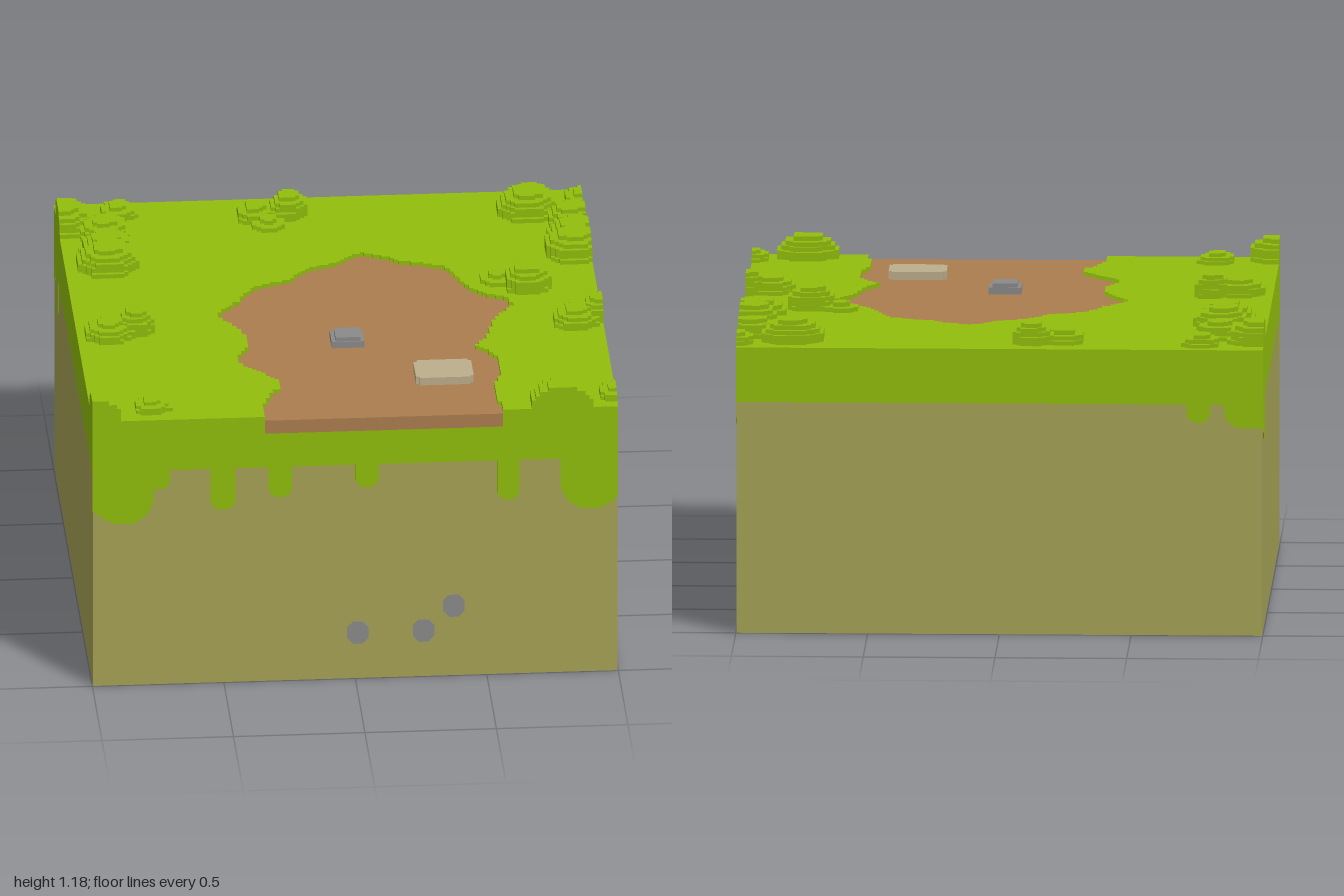
import * as THREE from 'three';

const V = 1 / 64; // block step
const TOP = 1.1, SKIRT = 0.89, BED = 1.03, PLATE = 0.003;

const mat = (name, color) => {
  const m = new THREE.MeshStandardMaterial({ color });
  m.name = name;
  return m;
};

const snap = (n) => Math.round(n / V) * V;

// Turn a line of points into a staircase on the block grid
function stepped(points) {
  const out = [];
  const push = (x, z) => {
    const l = out[out.length - 1];
    if (!l || l[0] !== x || l[1] !== z) out.push([x, z]);
  };
  points.forEach(([x, z], i) => {
    if (i === 0) return push(snap(x), snap(z));
    const [px, pz] = points[i - 1];
    const n = Math.max(1, Math.ceil(Math.max(Math.abs(x - px), Math.abs(z - pz)) / V));
    for (let k = 1; k <= n; k++) {
      const nx = snap(px + ((x - px) * k) / n), nz = snap(pz + ((z - pz) * k) / n);
      push(nx, out[out.length - 1][1]);
      push(nx, nz);
    }
  });
  return out;
}

const toShape = (pts) => new THREE.Shape(pts.map(([x, y]) => new THREE.Vector2(x, y)));

// Extrude a ground outline (x, z) upward from y0 to y1
function layer(outline, y0, y1) {
  const g = new THREE.ExtrudeGeometry(toShape(outline.map(([x, z]) => [x, -z])), { depth: y1 - y0, bevelEnabled: false });
  return g.rotateX(-Math.PI / 2).translate(0, y0, 0);
}

function octagon(cx, cy, rx, ry = rx) {
  const c = 0.45;
  return [[1, c], [c, 1], [-c, 1], [-1, c], [-1, -c], [-c, -1], [c, -1], [1, -c]]
    .map(([x, y]) => [cx + x * rx, cy + y * ry]);
}

export function createModel() {
  const root = new THREE.Group();
  root.name = 'groundTile';
  const grass = mat('grass green', 0x91be0c);
  const earth = mat('earth olive', 0xa6a256);
  const soil = mat('soil brown', 0xaa7d4e);
  const stone = mat('stone grey', 0x8a8a8a);
  const sand = mat('sandstone', 0xbcae8c);

  const add = (name, geometry, material, parent = root) => {
    const m = new THREE.Mesh(geometry, material);
    m.name = name;
    parent.add(m);
    return m;
  };
  const box = (name, w, h, d, x, y, z, material, parent) =>
    add(name, new THREE.BoxGeometry(w, h, d).translate(x, y + h / 2, z), material, parent);

  // Earth block and the lower grass layer
  const w = 2 - 2 * PLATE;
  box('earthBlock', w, SKIRT, w, 0, 0, 0, earth);
  box('grassBase', 2, BED - SKIRT, 2, 0, SKIRT, 0, grass);

  // Sunken soil clearing, open at the front edge
  const path = stepped([
    [-0.35, 1], [-0.35, 0.92], [-0.33, 0.85], [-0.31, 0.78], [-0.27, 0.73], [-0.27, 0.65],
    [-0.32, 0.59], [-0.38, 0.53], [-0.405, 0.47], [-0.4, 0.42], [-0.36, 0.35], [-0.355, 0.27],
    [-0.38, 0.18], [-0.43, 0.09], [-0.455, 0.05], [-0.44, 0], [-0.37, -0.07], [-0.34, -0.14],
    [-0.3, -0.2], [-0.17, -0.25], [-0.09, -0.35], [0.03, -0.4], [0.08, -0.46], [0.13, -0.485],
    [0.2, -0.44], [0.28, -0.39], [0.42, -0.34], [0.46, -0.28], [0.48, -0.2], [0.54, -0.1],
    [0.65, -0.02], [0.67, 0.04], [0.64, 0.1], [0.59, 0.15], [0.57, 0.25], [0.55, 0.33],
    [0.5, 0.4], [0.54, 0.45], [0.58, 0.51], [0.58, 0.67], [0.54, 0.77], [0.55, 0.9], [0.57, 1],
  ]);
  add('soilClearing', layer(path, BED, 1.084), soil);
  add('grassTop', layer([[-1, 1], [-1, -1], [1, -1], [1, 1], ...[...path].reverse()], BED, TOP), grass);

  // Thin plates on the four sides: u runs to the right when facing each side
  const side = (name, angle) => {
    const g = new THREE.Group();
    g.name = name;
    g.rotation.y = angle;
    root.add(g);
    return (part, pts, material) =>
      add(part, new THREE.ExtrudeGeometry(toShape(pts), { depth: PLATE, bevelEnabled: false })
        .translate(0, 0, 1 - PLATE), material, g);
  };
  const drip = (a, b, y) => [
    [a, SKIRT], [a, y + 0.03], [a + 0.012, y + 0.01], [a + 0.03, y],
    [b - 0.03, y], [b - 0.012, y + 0.01], [b, y + 0.03], [b, SKIRT],
  ];
  const sides = [
    {
      name: 'frontSide', angle: 0,
      drips: [[-0.55, -0.455, 0.72], [-0.33, -0.24, 0.765], [0, 0.09, 0.795], [0.54, 0.625, 0.725]],
      corners: [
        [[-1, SKIRT], [-1, 0.73], [-0.95, 0.69], [-0.91, 0.672], [-0.84, 0.672], [-0.79, 0.71],
          [-0.768, 0.76], [-0.768, 0.81], [-0.72, 0.815], [-0.705, 0.84], [-0.705, SKIRT]],
        [[0.78, SKIRT], [0.78, 0.77], [0.81, 0.71], [0.86, 0.68], [0.93, 0.68], [0.97, 0.7], [1, 0.73], [1, SKIRT]],
      ],
      pebbles: [[0.01, 0.19], [0.26, 0.19], [0.375, 0.29]],
    },
    {
      name: 'leftSide', angle: Math.PI / 2,
      drips: [[-0.67, -0.57, 0.795], [-0.345, -0.25, 0.725], [-0.01, 0.08, 0.73], [0.22, 0.305, 0.78], [0.45, 0.535, 0.675]],
      corners: [
        [[-1, SKIRT], [-1, 0.735], [-0.93, 0.755], [-0.9, 0.77], [-0.83, 0.775], [-0.79, 0.81], [-0.77, 0.85], [-0.77, SKIRT]],
        [[0.75, SKIRT], [0.75, 0.77], [0.77, 0.75], [0.83, 0.755], [0.87, 0.77], [0.91, 0.8], [0.96, 0.8], [1, 0.83], [1, SKIRT]],
      ],
      pebbles: [[-0.625, 0.405], [0.265, 0.525], [-0.07, 0.205]],
    },
    {
      name: 'backSide', angle: Math.PI,
      drips: [[0.71, 0.8, 0.82]],
      corners: [[[0.85, SKIRT], [0.86, 0.83], [0.9, 0.8], [1, 0.8], [1, SKIRT]]],
      pebbles: [],
    },
    {
      name: 'rightSide', angle: -Math.PI / 2,
      drips: [[-0.87, -0.76, 0.73]],
      corners: [[[-1, SKIRT], [-1, 0.8], [-0.93, 0.82], [-0.9, SKIRT]]],
      pebbles: [],
    },
  ];
  for (const s of sides) {
    const plate = side(s.name, s.angle);
    s.drips.forEach((d) => plate('grassDrip', drip(...d), grass));
    s.corners.forEach((c) => plate('cornerDrip', c, grass));
    s.pebbles.forEach(([u, y]) => plate('pebble', octagon(u, y, 0.041, 0.046), stone));
  }

  // Bushes: stepped domes cut off at the tile edge (x, z, radius, height)
  const clamp = (n) => THREE.MathUtils.clamp(n, -1, 1);
  const bushes = [
    [-0.98, -0.81, 0.115, 0.085], [-0.765, -0.895, 0.07, 0.045], [-0.83, -0.715, 0.09, 0.065],
    [-0.83, -0.53, 0.1, 0.085], [-0.835, -0.435, 0.115, 0.085],
    [-0.245, -0.84, 0.075, 0.05], [-0.12, -0.86, 0.075, 0.08], [-0.2, -0.75, 0.06, 0.035],
    [0.79, -0.825, 0.115, 0.085], [1, -0.895, 0.07, 0.045], [0.945, -0.715, 0.09, 0.065],
    [0.945, -0.53, 0.1, 0.085], [0.94, -0.435, 0.115, 0.085],
    [0.625, -0.19, 0.06, 0.035], [0.74, -0.135, 0.09, 0.085],
    [0.9, 0.205, 0.09, 0.06], [0.995, 0.165, 0.07, 0.085],
    [-0.875, 0.205, 0.09, 0.06], [-0.77, 0.165, 0.07, 0.085],
    [-1, 0.965, 0.115, 0.085], [-0.765, 0.885, 0.07, 0.04],
    [0.79, 0.96, 0.115, 0.085], [1, 0.885, 0.07, 0.04],
  ];
  for (const [x, z, r, h] of bushes) {
    const bush = new THREE.Group();
    bush.name = 'bush';
    root.add(bush);
    const n = Math.max(2, Math.round(h / V));
    for (let i = 0; i < n; i++) {
      const t = i / (n - 1);
      const ring = octagon(x, z, r * Math.sqrt(1 - 0.72 * t * t));
      const outline = stepped([...ring, ring[0]])
        .map(([a, b]) => [clamp(a), clamp(b)])
        .filter(([a, b], k, all) => {
          const [pa, pb] = all[(k + all.length - 1) % all.length];
          return a !== pa || b !== pb;
        });
      add('bushLayer', layer(outline, TOP + (h * i) / n, TOP + (h * (i + 1)) / n), grass, bush);
    }
  }

  // Loose rock and flat slab lying on the soil
  box('rockBase', 0.125, 0.03, 0.1, 0.02, 1.08, 0.305, stone);
  box('rockTop', 0.095, 0.016, 0.09, 0.02, 1.11, 0.305, stone);
  box('slabLong', 0.22, 0.035, 0.135, 0.362, 1.08, 0.637, sand);
  box('slabWide', 0.195, 0.035, 0.165, 0.362, 1.08, 0.637, sand);

  return root;
}
